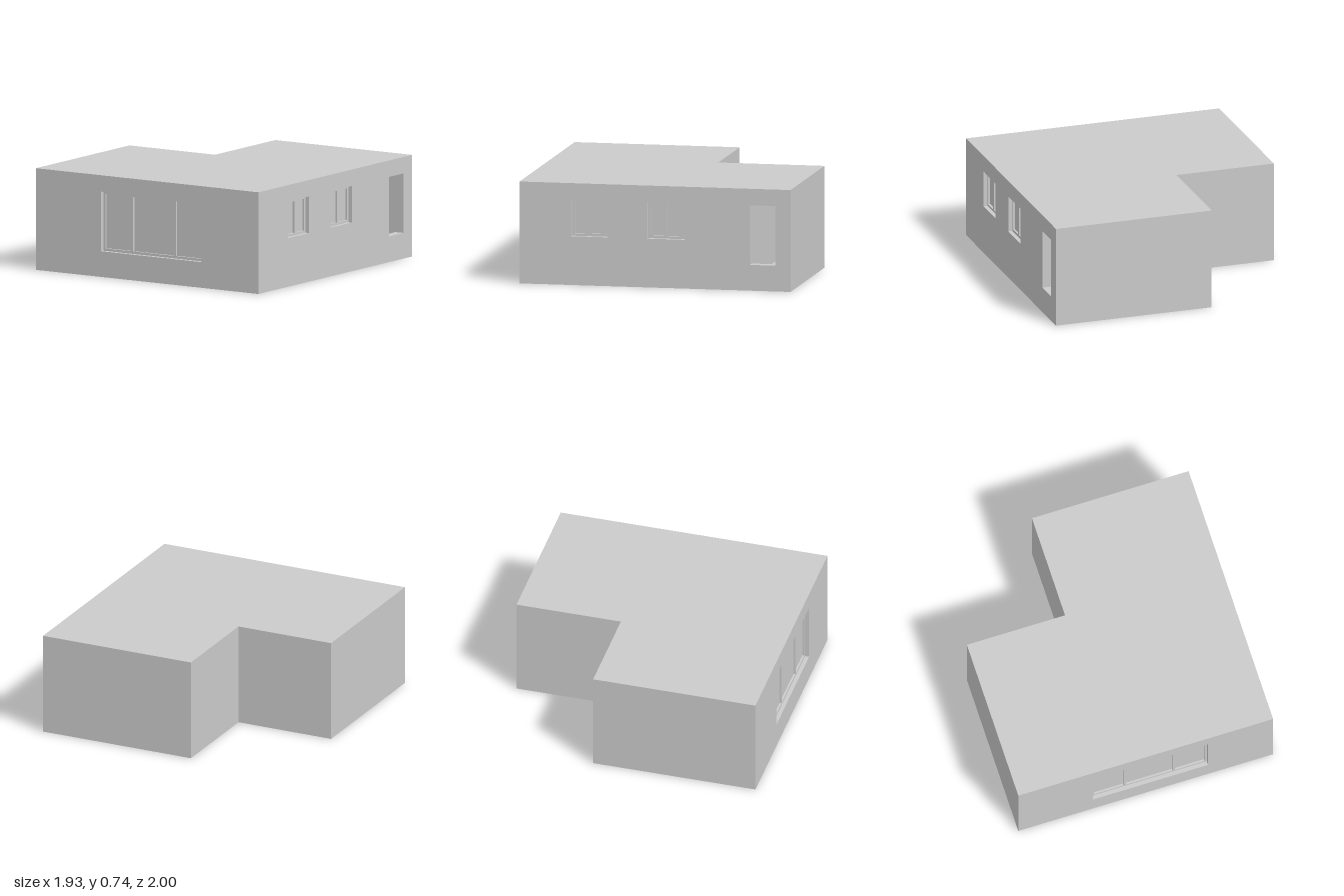
import * as THREE from 'three';

const X = 0.966, Z = 1, H = 0.744;       // half width, half depth, height
const NX = -0.222, NZ = -0.217;          // inner corner of the L
const T = 0.07, SLAB = 0.05;             // wall and slab thickness
const mat = new THREE.MeshStandardMaterial({ color: 0xcccccc, flatShading: true });

function add(parent, name, geometry) {
  const mesh = new THREE.Mesh(geometry, mat);
  mesh.name = name;
  parent.add(mesh);
  return mesh;
}

function box(parent, name, x0, x1, y0, y1, z0, z1) {
  const m = add(parent, name, new THREE.BoxGeometry(x1 - x0, y1 - y0, z1 - z0));
  m.position.set((x0 + x1) / 2, (y0 + y1) / 2, (z0 + z1) / 2);
  return m;
}

// Upright wall with rectangular openings [u0, u1, y0, y1]
function wallGeometry(u0, u1, openings) {
  const rect = (p, a, b, c, d) => p.moveTo(a, c).lineTo(b, c).lineTo(b, d).lineTo(a, d).closePath();
  const shape = rect(new THREE.Shape(), u0, u1, 0, H);
  openings.forEach(([a, b, c, d]) => shape.holes.push(rect(new THREE.Path(), a, b, c, d)));
  return new THREE.ExtrudeGeometry(shape, { depth: T, bevelEnabled: false });
}

// Recessed window facing local +z, outer wall face at z = 0
function addWindow(parent, name, [u0, u1, y0, y1], mullions) {
  const g = new THREE.Group();
  g.name = name;
  const f = 0.018, front = -0.03, back = -0.06;
  box(g, 'glass', u0, u1, y0, y1, back, -0.045);
  box(g, 'bottomFrame', u0, u1, y0, y0 + f, back, front);
  box(g, 'topFrame', u0, u1, y1 - f, y1, back, front);
  box(g, 'sideFrame', u0, u0 + f, y0 + f, y1 - f, back, front);
  box(g, 'sideFrame', u1 - f, u1, y0 + f, y1 - f, back, front);
  for (const u of mullions) box(g, 'mullion', u - f / 2, u + f / 2, y0 + f, y1 - f, back, front);
  parent.add(g);
  return g;
}

// Horizontal L-shaped slab lying inside the walls
function addSlab(parent, name, y) {
  const s = new THREE.Shape([
    [-X + T, -Z + T], [X - T, -Z + T], [X - T, Z - T], [NX + T, Z - T],
    [NX + T, -NZ - T], [-X + T, -NZ - T],
  ].map(([a, b]) => new THREE.Vector2(a, b)));
  const geo = new THREE.ExtrudeGeometry(s, { depth: SLAB, bevelEnabled: false }).rotateX(-Math.PI / 2);
  add(parent, name, geo).position.y = y;
}

export function createModel() {
  const house = new THREE.Group();
  house.name = 'house';

  // Front wall with its wide three-pane window
  const wide = [-0.40, 0.473, 0.188, 0.624];
  add(house, 'frontWall', wallGeometry(-X, X, [wide])).position.z = Z - T;
  addWindow(house, 'frontWindow', wide, [-0.15, 0.222]).position.z = Z;

  // Side wall: two small windows and one tall open one (u runs along -z)
  const small = [[-0.615, -0.342, 0.356, 0.624], [-0.06, 0.216, 0.356, 0.624]];
  const tall = [0.70, 0.888, 0.188, 0.624];
  const side = add(house, 'leftWall', wallGeometry(-Z + T, Z - T, [...small, tall]));
  side.rotation.y = Math.PI / 2;
  side.position.x = X - T;
  for (const w of small) {
    const g = addWindow(house, 'sideWindow', w, [(w[0] + w[1]) / 2]);
    g.rotation.y = Math.PI / 2;
    g.position.x = X;
  }

  // Blank walls
  box(house, 'backWall', NX, X, 0, H, -Z, -Z + T);
  box(house, 'notchSideWall', NX, NX + T, 0, H, -Z + T, NZ + T);
  box(house, 'notchBackWall', -X, NX, 0, H, NZ, NZ + T);
  box(house, 'rightWall', -X, -X + T, 0, H, NZ + T, Z - T);

  // Partition behind the open window
  box(house, 'partition', NX + T, X - T, SLAB, H - SLAB, -0.66, -0.62);

  addSlab(house, 'floor', 0);
  addSlab(house, 'roof', H - SLAB);
  return house;
}
